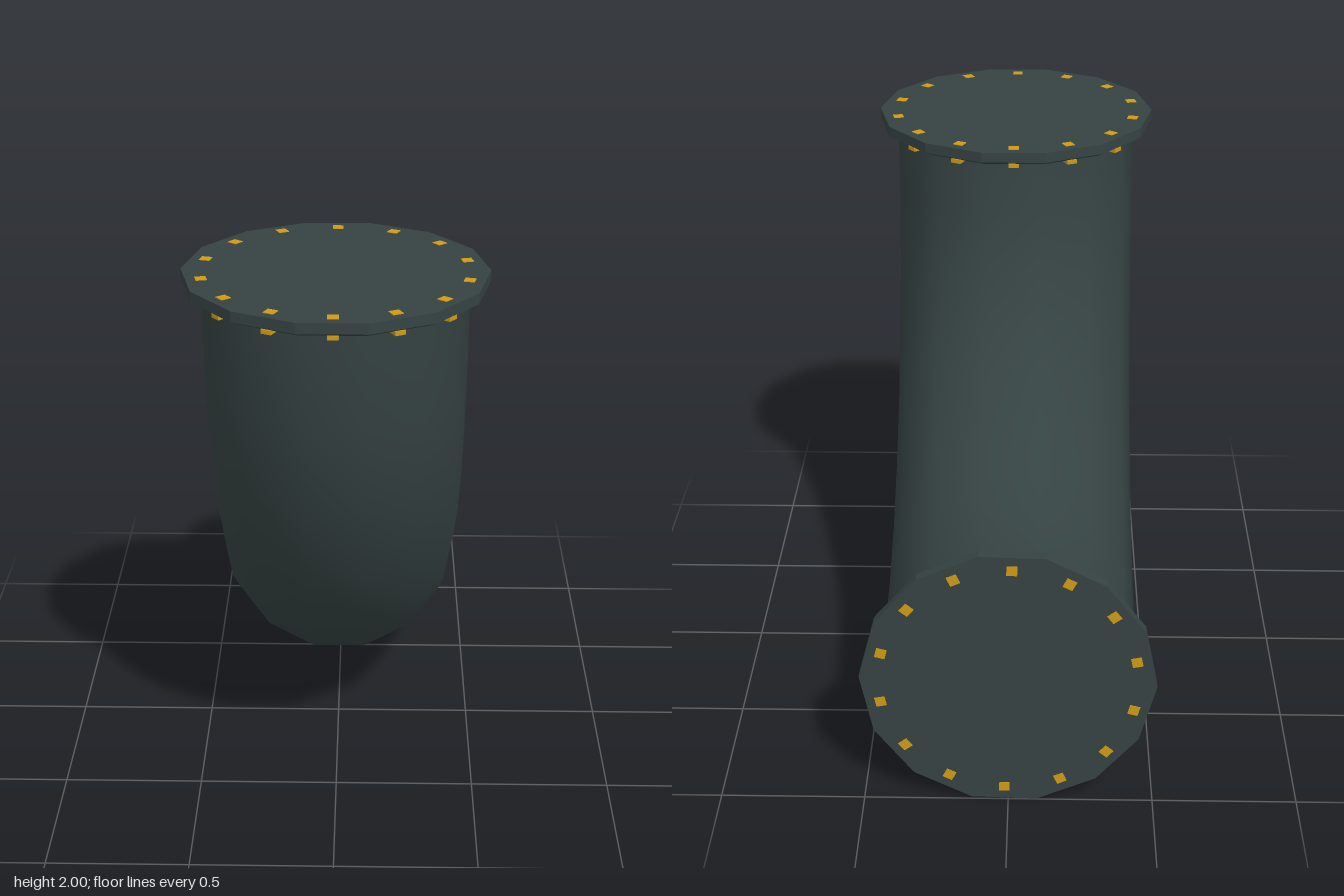
import * as THREE from 'three';

const SIDES = 14;

export function createModel() {
  const model = new THREE.Group();
  model.name = 'pipeElbow';

  const pipePaint = new THREE.MeshStandardMaterial({ color: 0x364343 });
  pipePaint.name = 'dark slate pipe';
  const flangePaint = new THREE.MeshStandardMaterial({ color: 0x364343, flatShading: true });
  flangePaint.name = 'dark slate flange';
  const boltPaint = new THREE.MeshStandardMaterial({ color: 0xd19a14 });
  boltPaint.name = 'brass bolt';

  // Curved pipe: rings at [z, y] centres, each turned 10 degrees further
  const centres = [
    [0.508, 1.95], [0.488, 1.675], [0.418, 1.42], [0.31, 1.185], [0.16, 0.975],
    [-0.035, 0.785], [-0.245, 0.64], [-0.48, 0.54], [-0.73, 0.498], [-0.95, 0.493],
  ];
  const radius = 0.437;
  const positions = [];
  const indices = [];
  centres.forEach(([z, y], i) => {
    const turn = THREE.MathUtils.degToRad(i * 10);
    for (let j = 0; j < SIDES; j++) {
      const t = (j / SIDES) * Math.PI * 2;
      const out = radius * Math.sin(t);
      positions.push(radius * Math.cos(t), y - out * Math.sin(turn), z + out * Math.cos(turn));
      if (i === centres.length - 1) continue;
      const a = i * SIDES + j;
      const b = i * SIDES + ((j + 1) % SIDES);
      indices.push(a, b, a + SIDES, b, b + SIDES, a + SIDES);
    }
  });
  const pipeGeometry = new THREE.BufferGeometry();
  pipeGeometry.setAttribute('position', new THREE.Float32BufferAttribute(positions, 3));
  pipeGeometry.setIndex(indices);
  pipeGeometry.computeVertexNormals();
  const pipe = new THREE.Mesh(pipeGeometry, pipePaint);
  pipe.name = 'curvedPipe';
  model.add(pipe);

  // Flange: closed plate with a bevelled inner edge, outer face at local y = 0
  function makeFlange(name) {
    const flange = new THREE.Group();
    flange.name = name;

    const disc = (top, bottom, height, y, part) => {
      const geometry = new THREE.CylinderGeometry(top, bottom, height, SIDES, 1, false, Math.PI / SIDES);
      const mesh = new THREE.Mesh(geometry, flangePaint);
      mesh.position.y = y;
      mesh.name = part;
      flange.add(mesh);
    };
    disc(0.5025, 0.5025, 0.036, -0.02, 'plate');
    disc(0.5025, 0.47, 0.016, -0.046, 'bevel');

    // Bolt heads on both faces
    const bolt = (angle, r, height, y, part) => {
      const mesh = new THREE.Mesh(new THREE.BoxGeometry(0.036, height, 0.036), boltPaint);
      mesh.position.set(r * Math.sin(angle), y, r * Math.cos(angle));
      mesh.rotation.y = angle;
      mesh.name = part;
      flange.add(mesh);
    };
    for (let i = 0; i < SIDES; i++) {
      const angle = (i / SIDES) * Math.PI * 2;
      bolt(angle, 0.44, 0.008, -0.004, 'outerBolt');
      bolt(angle, 0.455, 0.014, -0.057, 'innerBolt');
    }
    model.add(flange);
    return flange;
  }

  makeFlange('topFlange').position.set(0, 2, 0.51);

  const backFlange = makeFlange('backFlange');
  backFlange.position.set(0, 0.49, -1);
  backFlange.rotation.set(-Math.PI / 2, -0.03, 0);

  return model;
}
